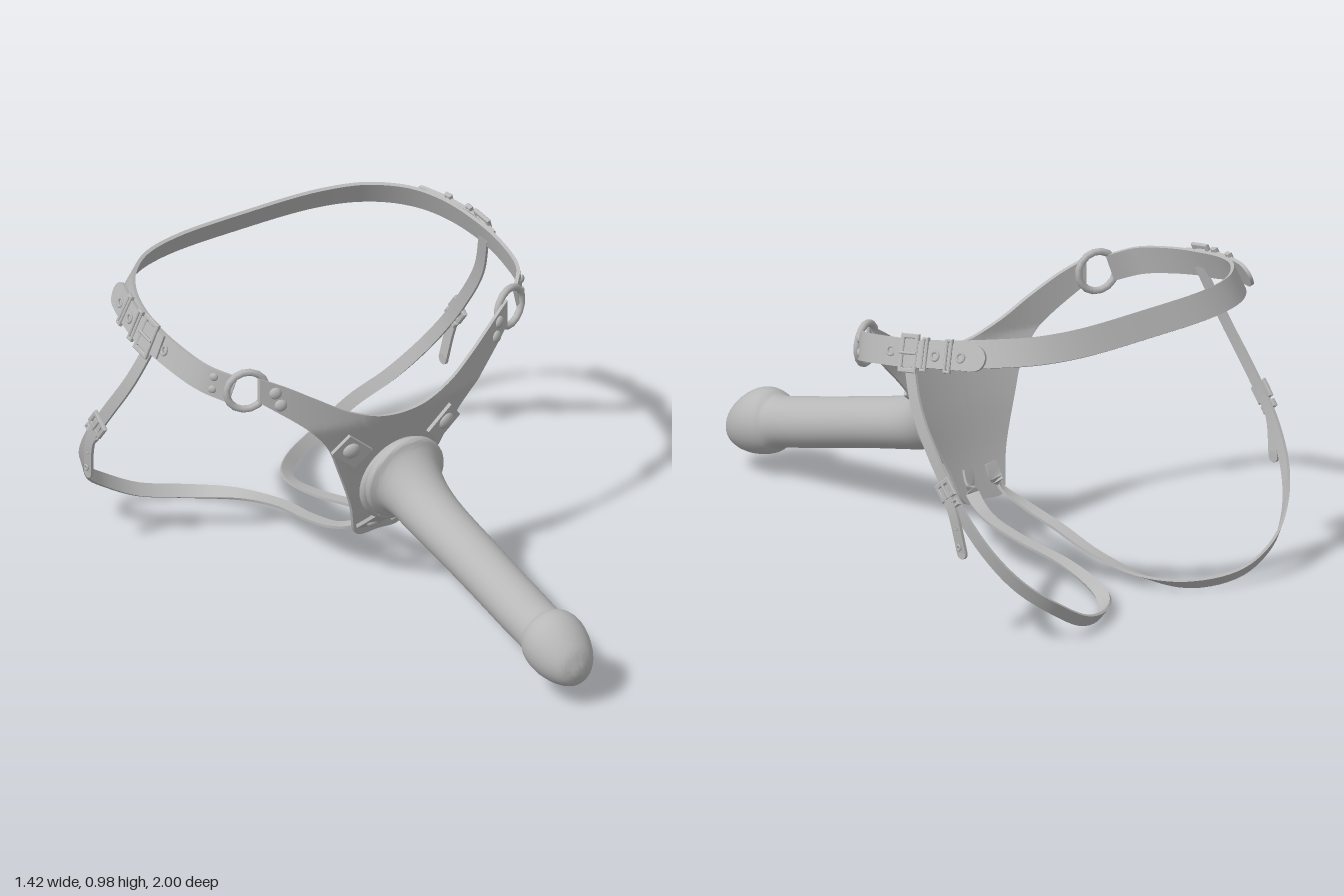
import * as THREE from 'three';
import { toCreasedNormals } from 'three/addons/utils/BufferGeometryUtils.js';

const grey = new THREE.MeshStandardMaterial({ color: 0xb8b8b8 });
grey.name = 'plain grey';
const V = (x, y, z) => new THREE.Vector3(x, y, z);
const smooth = (pts, n) => new THREE.CatmullRomCurve3(pts.map(p => V(...p)), false, 'centripetal').getPoints(n);
const smoothTable = table => smooth(table.map(([a, b]) => [a, b, 0]), 60).map(p => [p.x, p.y]);

// Piecewise linear profile: [[input, output], ...]
function lerpTable(table, v) {
  for (let i = 1; i < table.length; i++) {
    const [a, p] = table[i - 1], [b, q] = table[i];
    if (v <= b) return p + (q - p) * Math.max(0, (v - a) / (b - a));
  }
  return table[table.length - 1][1];
}

// Closed solid through rings of points, each counterclockwise about the travel direction
function loft(rings, crease = 0.7) {
  const n = rings[0].length, pos = [], idx = [];
  rings.forEach(r => r.forEach(p => pos.push(p.x, p.y, p.z)));
  for (let i = 0; i < rings.length - 1; i++)
    for (let j = 0; j < n; j++) {
      const a = i * n + j, b = i * n + (j + 1) % n;
      idx.push(a, b, b + n, a, b + n, a + n);
    }
  for (const i of [0, rings.length - 1]) {
    const c = rings[i].reduce((s, p) => s.add(p), V(0, 0, 0)).divideScalar(n);
    const k = pos.push(c.x, c.y, c.z) / 3 - 1;
    for (let j = 0; j < n; j++) {
      const a = i * n + j, b = i * n + (j + 1) % n;
      if (i) idx.push(k, a, b); else idx.push(k, b, a);
    }
  }
  const g = new THREE.BufferGeometry();
  g.setAttribute('position', new THREE.Float32BufferAttribute(pos, 3));
  g.setIndex(idx);
  return toCreasedNormals(g, crease);
}

// Flat strap along points, with outward directions given at the same points
function strap(pts, outs, width, thick, steps = 48) {
  const curve = new THREE.CatmullRomCurve3(pts.map(p => V(...p)), false, 'centripetal');
  const rings = curve.getPoints(steps).map((p, i) => {
    const u = i / steps, f = u * (outs.length - 1), k = Math.min(Math.floor(f), outs.length - 2);
    const t = curve.getTangent(u);
    const n = V(...outs[k]).lerp(V(...outs[k + 1]), f - k);
    n.addScaledVector(t, -n.dot(t)).normalize();
    const w = n.clone().cross(t);
    return [[1, -1], [1, 1], [-1, 1], [-1, -1]].map(([a, b]) =>
      p.clone().addScaledVector(w, a * width / 2).addScaledVector(n, b * thick / 2));
  });
  return loft(rings);
}

// Panel shape: height limits by distance from the middle, and depth
const topEdge = smoothTable([[0, 0.645], [0.05, 0.648], [0.1, 0.657], [0.2, 0.695], [0.3, 0.755], [0.4, 0.815], [0.48, 0.855]]);
const lowEdge = smoothTable([[0, 0.165], [0.08, 0.165], [0.1, 0.2], [0.125, 0.285], [0.2, 0.46], [0.25, 0.56], [0.33, 0.65], [0.48, 0.77]]);
const depth = smoothTable([[0.165, -0.145], [0.3, -0.1], [0.45, -0.06], [0.55, -0.03], [0.645, 0]]);
const panelZ = (x, y) => lerpTable(depth, y) - 0.5 * x * x;

function panelGeometry() {
  const rings = [], rows = 14, half = 0.007;
  for (let i = -48; i <= 48; i++) {
    const x = i / 100, top = lerpTable(topEdge, Math.abs(x)), low = lerpTable(lowEdge, Math.abs(x));
    const side = h => Array.from({ length: rows + 1 }, (_, j) => {
      const y = top + (low - top) * j / rows;
      return V(x, y, panelZ(x, y) + h);
    });
    rings.push([...side(half), ...side(-half).reverse()]);
  }
  return loft(rings);
}

// Front attachment: stations of [z, y, radius], leaning less towards the tip
function shaftGeometry() {
  const stations = smooth([[0.0, 0.415, 0.145], [0.018, 0.413, 0.145], [0.035, 0.41, 0.122], [0.07, 0.39, 0.104],
    [0.15, 0.352, 0.088], [0.4, 0.287, 0.081], [0.65, 0.224, 0.081], [0.79, 0.191, 0.085], [0.815, 0.186, 0.1],
    [0.85, 0.18, 0.108], [0.89, 0.17, 0.106], [0.94, 0.155, 0.09], [0.98, 0.142, 0.062], [0.999, 0.136, 0.02]], 90);
  const leans = [[0.04, 0.17], [0.15, 0.22], [0.78, 0.22], [0.82, 0.16], [1, 0]];
  const widths = [[0.05, 1], [0.15, 1.08], [0.75, 1.06], [0.82, 0.98]];
  return loft(stations.map(({ x: z, y, z: r }) => Array.from({ length: 32 }, (_, j) => {
    const a = j / 32 * Math.PI * 2, s = Math.sin(a) * r;
    return V(Math.cos(a) * r * lerpTable(widths, z), y + s, z + s * lerpTable(leans, z));
  })), 0.9);
}

// Rectangular frame with a hole
function frameGeometry(w, h, bar, d) {
  const rect = (T, a, b) => new T([[-a, -b], [a, -b], [a, b], [-a, b]].map(p => new THREE.Vector2(...p)));
  const s = rect(THREE.Shape, w / 2, h / 2);
  s.holes.push(rect(THREE.Path, w / 2 - bar, h / 2 - bar));
  return new THREE.ExtrudeGeometry(s, { depth: d, bevelEnabled: true, bevelSize: 0.003, bevelThickness: 0.003, bevelSegments: 1 });
}

export function createModel() {
  const model = new THREE.Group();
  const add = (name, geo, parent = model) => {
    const m = new THREE.Mesh(geo, grey);
    m.name = name;
    parent.add(m);
    return m;
  };
  // Puts a part at a point: local x runs along, local z faces out
  const orient = (o, pos, along, out) => {
    const z = V(...out).normalize(), x = V(...along);
    x.addScaledVector(z, -x.dot(z)).normalize();
    o.quaternion.setFromRotationMatrix(new THREE.Matrix4().makeBasis(x, z.clone().cross(x), z));
    o.position.set(...pos);
    return o;
  };
  const rivet = (pos, out, r) => {
    const g = new THREE.SphereGeometry(r, 14, 6, 0, Math.PI * 2, 0, Math.PI / 2).rotateX(Math.PI / 2).scale(1, 1, 0.6);
    orient(add('rivet', g), pos, [0.1, 1, 0.13], out);
  };
  const buckle = (name, pos, along, out, w, h) => {
    const g = new THREE.Group();
    g.name = name;
    add('buckleFrame', frameGeometry(w, h, 0.01, 0.008), g);
    add('bucklePin', new THREE.CylinderGeometry(0.005, 0.005, w, 8).rotateZ(Math.PI / 2).translate(0, 0, 0.01), g);
    add('buckleKeeper', frameGeometry(0.02, h * 0.88, 0.004, 0.01).translate(w * 0.95, 0, -0.002), g);
    model.add(orient(g, pos, along, out));
  };

  add('frontPanel', panelGeometry());
  add('shaft', shaftGeometry());
  const oRing = add('mountingRing', new THREE.TorusGeometry(0.135, 0.018, 10, 40));
  oRing.position.set(0, 0.4, -0.016);
  oRing.rotation.x = 0.18;

  // Waist belt, right round the back
  const beltHalf = [[0.55, 0.817, -0.157], [0.61, 0.845, -0.23], [0.636, 0.87, -0.35], [0.638, 0.895, -0.5],
    [0.605, 0.92, -0.65], [0.545, 0.935, -0.755], [0.44, 0.941, -0.845], [0.29, 0.943, -0.893]];
  const beltOut = [[0.4, 0, 0.9], [0.8, 0.1, 0.5], [1, 0.25, 0.1], [1, 0.35, 0], [0.95, 0.38, -0.2],
    [0.8, 0.42, -0.5], [0.4, 0.45, -0.8], [0.1, 0.48, -0.87]];
  const flip = list => list.map(([x, y, z]) => [-x, y, z]).reverse();
  add('waistBelt', strap([...beltHalf, [0, 0.944, -0.905], ...flip(beltHalf)],
    [...beltOut, [0, 0.48, -0.87], ...flip(beltOut)], 0.092, 0.012, 96));

  for (const s of [1, -1]) {
    const m = ([x, y, z]) => [s * x, y, z];
    // Ring joining panel and belt
    orient(add('sideRing', new THREE.TorusGeometry(0.066, 0.012, 8, 16)), m([0.51, 0.81, -0.14]), m([1, 0.2, -0.35]), m([0.33, 0, 0.94]));
    for (const [x, y] of [[0.434, 0.8], [0.418, 0.755]])
      rivet(m([x, y, panelZ(x, y) + 0.007]), m([0.35, 0, 0.9]), 0.021);
    for (const [x, y, z] of [[0.597, 0.86, -0.198], [0.6, 0.815, -0.202]])
      rivet(m([x, y, z]), m([0.65, 0, 0.7]), 0.014);

    // Riveted tabs holding the mounting ring at top and bottom
    const tabOut = m([0.2, -0.25, 0.95]), tabZ = panelZ(0.185, 0.547) + 0.018;
    orient(add('upperTab', new THREE.BoxGeometry(0.115, 0.085, 0.012)), m([0.177, 0.54, tabZ]), m([1, 0.85, 0]), tabOut);
    rivet(m([0.183, 0.547, tabZ + 0.006]), tabOut, 0.03);
    const lowOut = m([0.15, -0.6, 0.8]);
    add('lowerTab', strap([[0.05, 0.295, -0.01], [0.06, 0.255, -0.055], [0.065, 0.2, -0.122]].map(m),
      [lowOut, lowOut, lowOut], 0.06, 0.012, 10));
    rivet(m([0.062, 0.225, -0.082]), lowOut, 0.018);

    // Belt fastening: overlapping end, buckle, second keeper and eyelets
    const endPts = [[0.648, 0.885, -0.42], [0.652, 0.902, -0.52], [0.628, 0.918, -0.64], [0.598, 0.926, -0.73]].map(m);
    const endOut = [[1, 0.28, 0], [1, 0.35, 0], [0.95, 0.38, -0.2], [0.94, 0.4, -0.28]].map(m);
    add('beltEnd', strap(endPts, endOut, 0.085, 0.012, 16));
    orient(add('beltEndTip', new THREE.CylinderGeometry(0.0425, 0.0425, 0.012, 20).rotateX(Math.PI / 2)), endPts[3], m([-0.3, 0.1, -1]), endOut[3]);
    buckle('beltBuckle', m([0.652, 0.897, -0.49]), m([-0.05, 0.16, -1]), m([1, 0.33, 0]), 0.072, 0.12);
    orient(add('beltKeeper', frameGeometry(0.02, 0.105, 0.004, 0.01)), m([0.627, 0.918, -0.645]), m([-0.25, 0.12, -1]), m([0.95, 0.38, -0.2]));
    for (const p of [[0.65, 0.884, -0.4], [0.647, 0.914, -0.6], [0.62, 0.924, -0.69]])
      orient(add('eyelet', new THREE.TorusGeometry(0.014, 0.005, 6, 16)), m(p), [0, 1, 0], m([0.95, 0.37, -0.15]));

    // Leg strap, from the inside of the panel's foot round the back to the belt
    const legPts = [[0.05, 0.27, -0.127], [0.06, 0.2, -0.16], [0.083, 0.152, -0.25], [0.085, 0.115, -0.4], [0.068, 0.075, -0.6],
      [0.105, 0.035, -0.8], [0.2, 0.022, -0.915], [0.35, 0.045, -0.98], [0.48, 0.115, -0.985], [0.585, 0.2, -0.93],
      [0.65, 0.3, -0.86], [0.685, 0.42, -0.77], [0.69, 0.55, -0.67], [0.675, 0.72, -0.55], [0.642, 0.88, -0.475]].map(m);
    const legOut = [[0, 0.5, 0.9], [0, -0.9, 0.5], [0, -1, -0.2], [0, -1, 0], [-0.1, -1, 0], [-0.2, -0.8, -0.4],
      [-0.15, -0.6, -0.8], [0.1, -0.5, -0.85], [0.45, -0.4, -0.8], [0.8, -0.2, -0.5],
      [0.95, -0.1, -0.2], [1, 0, 0], [1, 0, 0], [1, 0.1, 0], [1, 0.2, 0]].map(m);
    legOut[0] = [0, -0.4, -0.9];
    legOut[1] = [0, -0.9, -0.5];
    add('legStrap', strap(legPts, legOut, 0.044, 0.009, 84));

    // Leg strap fastening with its loose end
    buckle('legBuckle', m([0.694, 0.5, -0.705]), m([0, -0.78, -0.62]), m([1, 0, 0]), 0.056, 0.07);
    add('legStrapEnd', strap([[0.698, 0.51, -0.7], [0.7, 0.42, -0.745], [0.688, 0.3, -0.77]].map(m),
      [[1, 0, 0], [1, 0, 0], [1, 0, 0]].map(m), 0.04, 0.01, 12));
    orient(add('legStrapTip', new THREE.CylinderGeometry(0.02, 0.02, 0.01, 16).rotateX(Math.PI / 2)), m([0.688, 0.3, -0.77]), [0, -1, 0], m([1, 0, 0]));
    for (const [y, z] of [[0.385, -0.754], [0.32, -0.766]])
      orient(add('eyelet', new THREE.TorusGeometry(0.008, 0.004, 6, 12)), m([0.7, y, z]), [0, 1, 0], m([1, 0, 0]));
  }
  return model;
}
